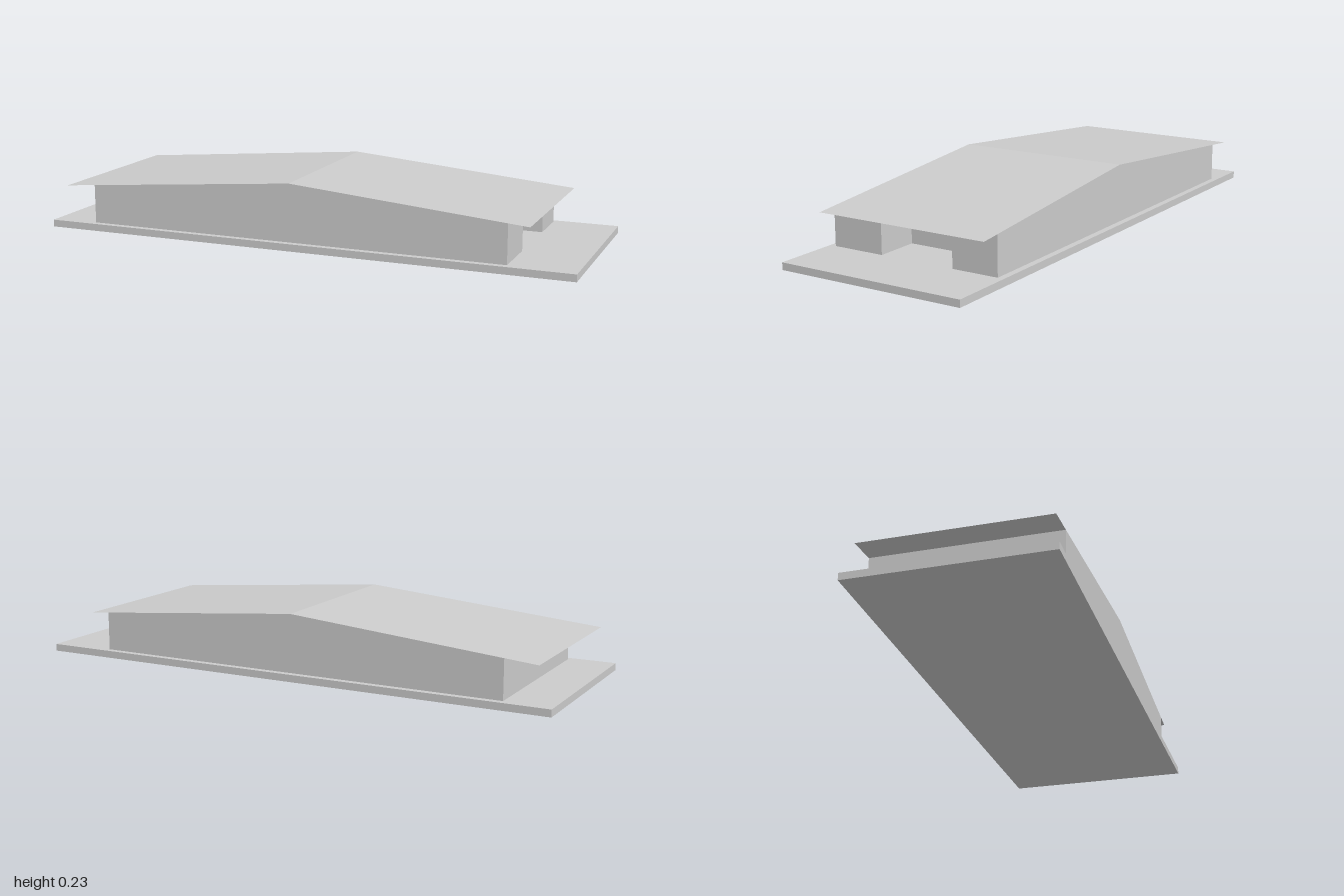
import * as THREE from 'three';

const FLOOR = 0.025, RIDGE_X = -0.03, RIDGE_Y = 0.227;
const ROOF_LEFT = -0.898, ROOF_RIGHT = 0.793, HALF_DEPTH = 0.316;

// height of the roof at a position along the building
function roofY(x) {
  return x < RIDGE_X
    ? THREE.MathUtils.mapLinear(x, ROOF_LEFT, RIDGE_X, 0.151, RIDGE_Y)
    : THREE.MathUtils.mapLinear(x, RIDGE_X, ROOF_RIGHT, RIDGE_Y, 0.154);
}

// separate four-cornered faces (corners counter-clockwise from outside)
function quadMesh(name, quads, material) {
  const positions = [];
  for (const [a, b, c, d] of quads) positions.push(...a, ...b, ...c, ...a, ...c, ...d);
  const geometry = new THREE.BufferGeometry();
  geometry.setAttribute('position', new THREE.Float32BufferAttribute(positions, 3));
  geometry.computeVertexNormals();
  const mesh = new THREE.Mesh(geometry, material);
  mesh.name = name;
  return mesh;
}

export function createModel() {
  const group = new THREE.Group();
  group.name = 'pavilion';
  const solid = new THREE.MeshStandardMaterial({ color: 0xcccccc, flatShading: true });
  const thin = new THREE.MeshStandardMaterial({ color: 0xcccccc, flatShading: true, side: THREE.DoubleSide });

  // ground slab
  const slab = new THREE.Mesh(new THREE.BoxGeometry(1.898, FLOOR, 0.677), solid);
  slab.name = 'groundSlab';
  slab.position.y = FLOOR / 2;
  group.add(slab);

  // walls follow a floor plan with a recessed porch at one end, and rise to the roof
  const plan = [
    [-0.785, HALF_DEPTH], [RIDGE_X, HALF_DEPTH], [0.722, HALF_DEPTH], [0.722, 0.126],
    [0.566, 0.126], [0.566, -0.149], [0.722, -0.149], [0.722, -HALF_DEPTH],
    [RIDGE_X, -HALF_DEPTH], [-0.785, -HALF_DEPTH],
  ];
  const wallQuads = plan.map(([x0, z0], i) => {
    const [x1, z1] = plan[(i + 1) % plan.length];
    return [[x0, FLOOR, z0], [x1, FLOOR, z1], [x1, roofY(x1), z1], [x0, roofY(x0), z0]];
  });
  group.add(quadMesh('walls', wallQuads, thin));

  // thin roof sheet with two slopes, overhanging both ends
  const slope = (x0, x1) => [
    [x0, roofY(x0), HALF_DEPTH], [x1, roofY(x1), HALF_DEPTH],
    [x1, roofY(x1), -HALF_DEPTH], [x0, roofY(x0), -HALF_DEPTH],
  ];
  group.add(quadMesh('roof', [slope(ROOF_LEFT, RIDGE_X), slope(RIDGE_X, ROOF_RIGHT)], thin));

  // the whole building stands turned on its site
  group.rotation.y = -0.2258;
  const model = new THREE.Group();
  model.name = 'building';
  model.add(group);
  return model;
}
